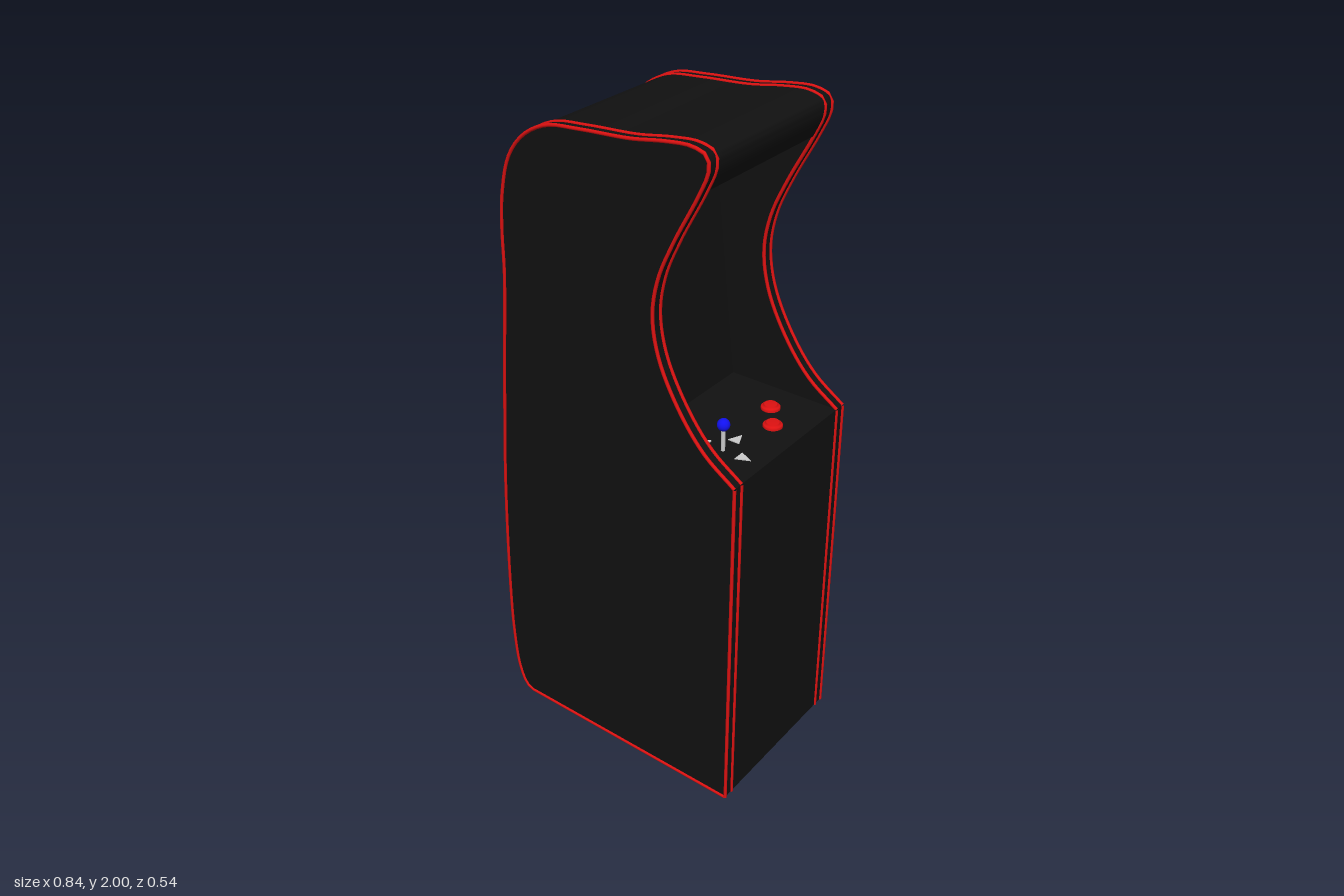
import * as THREE from 'three';
import { toCreasedNormals } from 'three/addons/utils/BufferGeometryUtils.js';

const mat = (color) => new THREE.MeshStandardMaterial({ color });
const SUB = 6; // samples between profile points

// Side profile (x, y) from the control deck edge, over the top, down the back
const PROFILE = [
  [0.412, 1.11], [0.315, 1.18], [0.235, 1.28], [0.17, 1.41], [0.15, 1.525],
  [0.167, 1.63], [0.214, 1.74], [0.288, 1.88], [0.315, 1.945], [0.31, 1.98],
  [0.267, 1.995], [0.19, 1.99], [0.087, 1.974], [-0.07, 1.963], [-0.177, 1.95],
  [-0.257, 1.907], [-0.31, 1.84], [-0.341, 1.73], [-0.35, 1.63], [-0.352, 1.5],
  [-0.378, 1.18], [-0.405, 0.81], [-0.417, 0.44], [-0.415, 0.23], [-0.4, 0.09],
  [-0.373, 0.025], [-0.347, 0.013],
];

export function createModel() {
  const group = new THREE.Group();
  const black = mat(0x111111), red = mat(0xdd1111), grey = mat(0xcccccc), blue = mat(0x1111ee);

  const add = (name, geometry, material, x = 0, y = 0, z = 0, parent = group) => {
    const mesh = new THREE.Mesh(geometry, material);
    mesh.name = name;
    mesh.position.set(x, y, z);
    parent.add(mesh);
    return mesh;
  };
  const slab = (points, depth) => toCreasedNormals(
    new THREE.ExtrudeGeometry(new THREE.Shape(points), { depth, bevelEnabled: false })
      .translate(0, 0, -depth / 2), 0.5);
  const v2 = (x, y) => new THREE.Vector2(x, y);

  const curve = new THREE.CatmullRomCurve3(PROFILE.map(([x, y]) => new THREE.Vector3(x, y, 0)));
  const outline = curve.getPoints((PROFILE.length - 1) * SUB).map((p) => v2(p.x, p.y));
  const frontBottom = v2(0.412, 0.005);

  // Side panels
  for (const s of [1, -1]) {
    add(s > 0 ? 'leftSidePanel' : 'rightSidePanel',
      slab([frontBottom, ...outline], 0.032), black, 0, 0, s * 0.25);
  }

  // Body between the panels: back and top, marquee underside, screen, control deck
  add('cabinetBody', slab([
    frontBottom, v2(0.412, 1.11), v2(0.06, 1.11), v2(-0.01, 1.74),
    ...outline.slice(7 * SUB),
  ], 0.47), black);

  // Edge trim along both rims of each side panel
  const [top, back] = [PROFILE[0], PROFILE[PROFILE.length - 1]]
    .map(([x, y]) => new THREE.Vector3(x, y, 0));
  const corner = new THREE.Vector3(frontBottom.x, frontBottom.y, 0);
  const trimParts = [
    [curve, 150],
    [new THREE.LineCurve3(corner, top), 1],
    [new THREE.LineCurve3(back, corner), 1],
  ].map(([path, n]) => new THREE.TubeGeometry(path, n, 0.005, 8));
  for (const z of [-0.266, -0.234, 0.234, 0.266]) {
    const trim = new THREE.Group();
    trim.name = 'edgeTrim';
    for (const part of trimParts) add('trimStrip', part, red, 0, 0, z, trim);
    group.add(trim);
  }

  // Buttons: a collar with a raised cap
  const button = new THREE.LatheGeometry([
    v2(0.028, 0), v2(0.028, 0.006), v2(0.026, 0.008), v2(0.021, 0.008),
    v2(0.02, 0.013), v2(0.018, 0.015), v2(0, 0.015),
  ], 32);
  add('innerButton', button, red, 0.26, 1.11, -0.13);
  add('outerButton', button, red, 0.318, 1.11, -0.053);

  // Joystick with four direction arrows
  const joystick = new THREE.Group();
  joystick.name = 'joystick';
  joystick.position.set(0.28, 1.11, 0.13);
  add('shaft', new THREE.CylinderGeometry(0.006, 0.006, 0.08, 16), grey, 0, 0.04, 0, joystick);
  add('ball', new THREE.SphereGeometry(0.018, 24, 16), blue, 0, 0.08, 0, joystick);
  const arrow = new THREE.ExtrudeGeometry(
    new THREE.Shape([v2(0.05, -0.018), v2(0.09, 0), v2(0.05, 0.018)]),
    { depth: 0.003, bevelEnabled: false }).rotateX(-Math.PI / 2);
  for (let i = 0; i < 4; i++) {
    add('directionArrow', arrow, grey, 0, 0, 0, joystick).rotation.y = i * Math.PI / 2;
  }
  group.add(joystick);

  return group;
}
